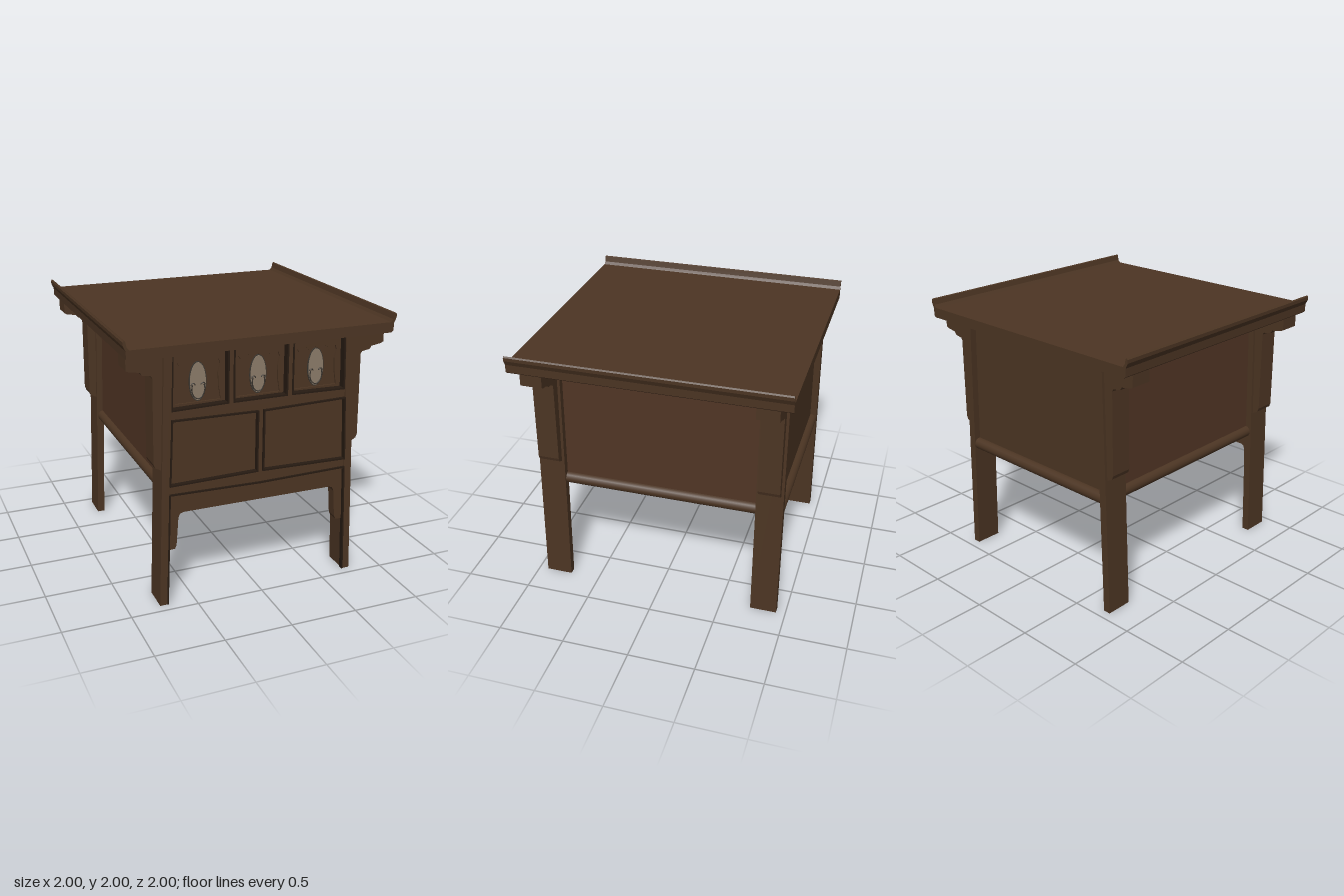
import * as THREE from 'three';

const mat = (name, color) => {
  const m = new THREE.MeshStandardMaterial({ color });
  m.name = name;
  return m;
};

export function createModel() {
  const group = new THREE.Group();
  group.name = 'cabinetTable';
  const wood = mat('brown wood', 0x4c3523);
  const panelWood = mat('reddish panel wood', 0x4f3424);
  const dark = mat('dark moulding', 0x271b12);
  const brass = mat('pale mount', 0x8c7c69);
  const iron = mat('dark grey metal', 0x3c3731);

  const add = (name, geo, m, parent = group) => {
    const mesh = new THREE.Mesh(geo, m);
    mesh.name = name;
    parent.add(mesh);
    return mesh;
  };
  const toShape = (pts) => new THREE.Shape(pts.map(([x, y]) => new THREE.Vector2(x, y)));
  // Front-view outline extruded from z0 to z1, with optional holes
  const slab = (name, pts, z0, z1, m, holes = [], parent = group) => {
    const s = toShape(pts);
    holes.forEach((h) => s.holes.push(toShape(h)));
    const g = new THREE.ExtrudeGeometry(s, { depth: z1 - z0, bevelEnabled: false });
    g.translate(0, 0, z0);
    return add(name, g, m, parent);
  };
  const flip = (pts) => pts.map(([x, y]) => [-x, y]).reverse();
  // Thin moulding following a line of points on the front
  const bead = (name, pts, w, z0, z1) => {
    for (let i = 0; i + 1 < pts.length; i++) {
      const [a, b] = [pts[i], pts[i + 1]];
      const dx = b[0] - a[0], dy = b[1] - a[1];
      const g = new THREE.BoxGeometry(Math.hypot(dx, dy) + w, w, z1 - z0);
      g.rotateZ(Math.atan2(dy, dx));
      g.translate((a[0] + b[0]) / 2, (a[1] + b[1]) / 2, (z0 + z1) / 2);
      add(name, g, dark);
    }
  };

  // Table top with upturned ends
  const end = [[0.965, 1.86], [0.98, 1.872], [0.982, 1.93], [0.999, 1.965], [1, 1.99], [0.992, 2],
    [0.983, 1.995], [0.974, 1.955], [0.958, 1.935]];
  slab('tableTop', [...end, ...flip(end)], -1, 1, wood);

  // Splayed legs and stepped brackets
  const leg = [[0.71, 0], [0.765, 0], [0.705, 1.865], [0.645, 1.865]];
  const bracket = [[0.68, 1.865], [0.96, 1.865], [0.96, 1.772], [0.94, 1.762], [0.865, 1.75], [0.85, 1.728],
    [0.79, 1.718], [0.78, 1.7], [0.785, 1.09], [0.775, 1.063], [0.725, 1.035]];
  for (const side of [1, -1]) {
    const outline = (p) => (side > 0 ? p : flip(p));
    for (const face of [1, -1]) {
      const span = (a, b) => (face > 0 ? [a, b] : [-b, -a]);
      slab('leg', outline(leg), ...span(0.73, 0.93), wood);
      slab('bracket', outline(bracket), ...span(0.75, 0.91), wood);
    }
    // Side panel rails
    slab('sideTopRail', outline([[0.64, 1.77], [0.69, 1.77], [0.687, 1.865], [0.64, 1.865]]), -0.74, 0.74, wood);
    const rail = new THREE.CylinderGeometry(0.045, 0.045, 1.48, 16);
    rail.rotateX(Math.PI / 2);
    rail.translate(side * 0.682, 0.877, 0);
    add('sideBottomRail', rail, wood);
  }

  // Case between the legs
  const caseOutline = [[-0.69, 0.835], [0.69, 0.835], [0.66, 1.865], [-0.66, 1.865]];
  slab('caseBody', caseOutline, -0.73, 0.73, panelWood);
  slab('backPanel', caseOutline, -0.88, -0.73, wood);
  slab('drawerBacking', caseOutline, 0.73, 0.86, wood);
  const backRail = new THREE.CylinderGeometry(0.045, 0.045, 1.38, 16);
  backRail.rotateZ(Math.PI / 2);
  backRail.translate(0, 0.88, -0.885);
  add('backBottomRail', backRail, wood);

  // Front frame with three drawer openings and two door openings
  const sideDrawer = [[0.243, 1.468], [0.652, 1.46], [0.64, 1.86], [0.243, 1.86]];
  const sideDrawerRight = [[-0.652, 1.46], [-0.243, 1.468], [-0.243, 1.86], [-0.64, 1.86]];
  const drawers = [sideDrawerRight, [[-0.2, 1.468], [0.2, 1.468], [0.2, 1.86], [-0.2, 1.86]], sideDrawer];
  const door = [[0.024, 0.932], [0.675, 0.92], [0.655, 1.392], [0.024, 1.38]];
  const doors = [door, flip(door)];
  slab('frontFrame', [[-0.69, 0.835], [0.69, 0.835], [0.655, 1.865], [-0.655, 1.865]], 0.85, 0.92, wood,
    [...drawers, ...doors]);
  doors.forEach((d) => {
    slab('doorPanel', d, 0.85, 0.905, wood);
    bead('doorMoulding', [...d, d[0]], 0.011, 0.9, 0.94);
  });
  drawers.forEach((d) => bead('drawerMoulding', [d[3], d[0], d[1], d[2]], 0.012, 0.86, 0.925));

  // Drawer fronts: scalloped carving, oval mount and pull
  const carvedHole = [[-0.165, 1.485], [0.165, 1.485], [0.15, 1.58], [0.145, 1.68], [0.16, 1.74], [0.15, 1.775]];
  for (let i = 1; i < 20; i++) {
    const x = 0.15 - i * 0.015;
    const drop = Math.abs(x) > 0.1 ? 0.012 : 0;
    carvedHole.push([x, 1.775 + 0.012 * Math.sin(i * 1.26) - drop]);
  }
  carvedHole.push([-0.15, 1.775], [-0.16, 1.74], [-0.145, 1.68], [-0.15, 1.58]);
  const oval = (rx, ry) => Array.from({ length: 40 }, (_, i) => {
    const a = (i / 40) * Math.PI * 2;
    return [rx * Math.cos(a), 1.63 + ry * Math.sin(a)];
  });
  [-0.445, 0, 0.445].forEach((x) => {
    const front = new THREE.Group();
    front.name = 'drawerFront';
    front.position.x = x;
    group.add(front);
    slab('carvedBorder', [[-0.198, 1.465], [0.198, 1.465], [0.195, 1.86], [-0.195, 1.86]], 0.85, 0.872, wood,
      [carvedHole], front);
    slab('mountRim', oval(0.064, 0.14), 0.858, 0.866, iron, [], front);
    slab('ovalMount', oval(0.057, 0.133), 0.861, 0.87, brass, [], front);
    // Hanging pull with two posts
    const bail = new THREE.CatmullRomCurve3([[-0.042, 1.61], [-0.047, 1.57], [-0.03, 1.525], [0, 1.508],
      [0.03, 1.525], [0.047, 1.57], [0.042, 1.61]].map(([px, py]) => new THREE.Vector3(px, py, 0.876)));
    add('pull', new THREE.TubeGeometry(bail, 24, 0.004, 6), iron, front);
    for (const s of [-1, 1]) {
      const post = new THREE.TorusGeometry(0.014, 0.004, 6, 10, Math.PI);
      post.translate(s * 0.036, 1.605, 0.872);
      add('pullPost', post, iron, front);
    }
  });

  // Apron with spandrels under the front
  const half = [[0.575, 0.7], [0.6, 0.69], [0.612, 0.66], [0.618, 0.58], [0.628, 0.45], [0.64, 0.425],
    [0.7, 0.42], [0.684, 0.84]];
  slab('apron', [...half, ...flip(half)], 0.83, 0.91, wood);
  bead('apronMoulding', [[-0.707, 0.006], [-0.678, 0.85], [0, 0.838], [0.678, 0.85], [0.707, 0.006]],
    0.011, 0.9, 0.935);

  return group;
}
